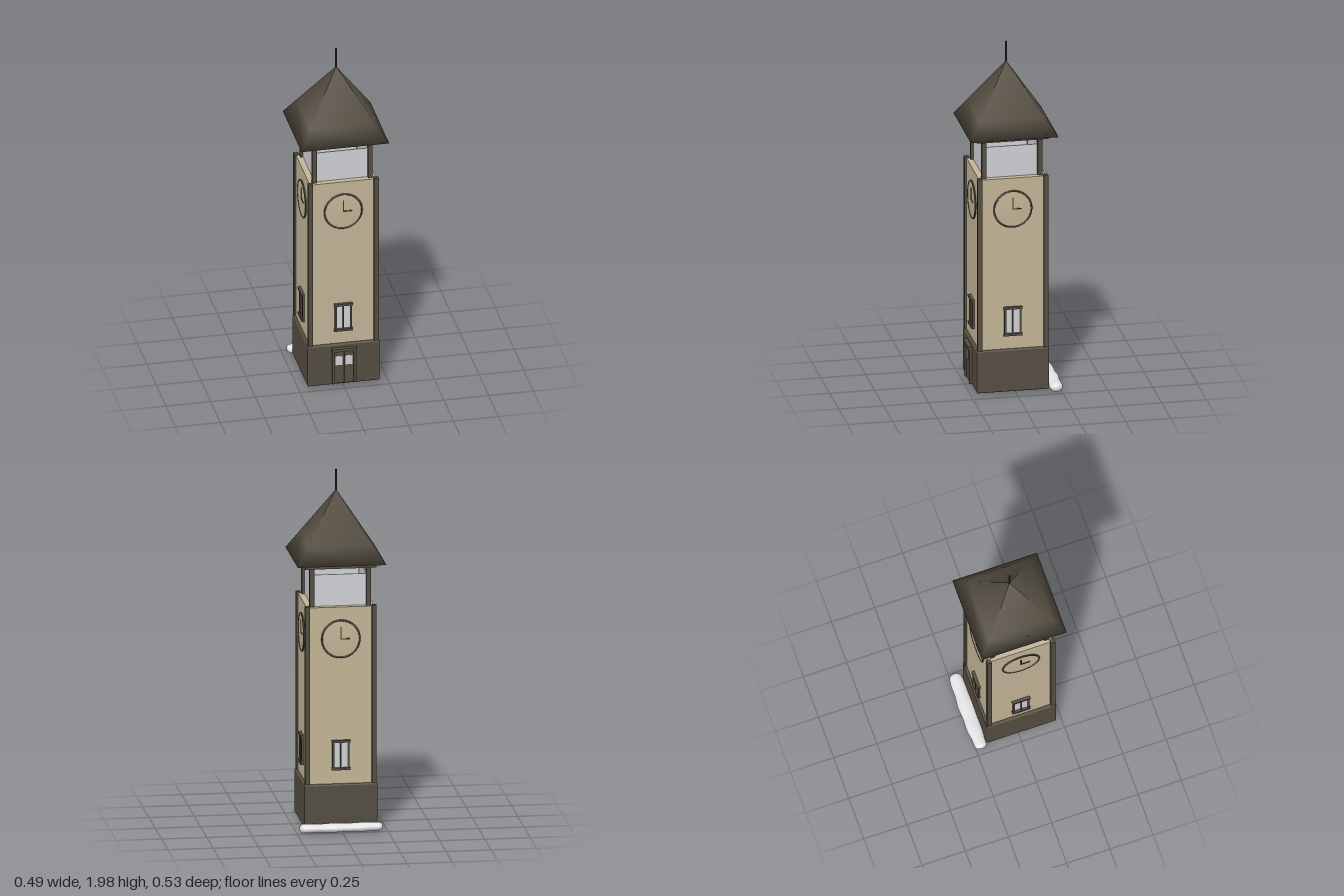
import * as THREE from 'three';
import { RoundedBoxGeometry } from 'three/addons/geometries/RoundedBoxGeometry.js';

const material = (name, color, side = THREE.FrontSide) => {
  const m = new THREE.MeshStandardMaterial({ color, side });
  m.name = name;
  return m;
};

export function createModel() {
  const wall = material('tan plaster', 0xc2b496);
  const dark = material('dark timber', 0x544d41);
  const glass = material('pale glass', 0xcfd0d4, THREE.DoubleSide);
  const snow = material('snow', 0xe2e2e4);
  const iron = material('dark iron', 0x3a362e);

  const model = new THREE.Group();
  model.name = 'clockTower';
  const tower = new THREE.Group();
  tower.name = 'tower';
  tower.position.z = 0.018;
  model.add(tower);

  const add = (parent, name, geometry, mat, x = 0, y = 0, z = 0) => {
    const mesh = new THREE.Mesh(geometry, mat);
    mesh.name = name;
    mesh.position.set(x, y, z);
    parent.add(mesh);
    return mesh;
  };
  // Box given by its width, bottom, top, back and front
  const box = (parent, name, mat, x, w, y0, y1, z0, z1) =>
    add(parent, name, new THREE.BoxGeometry(w, y1 - y0, z1 - z0), mat, x, (y0 + y1) / 2, (z0 + z1) / 2);

  // Plinth and shaft
  add(tower, 'plinth', new RoundedBoxGeometry(0.404, 0.245, 0.404, 2, 0.008), dark, 0, 0.153, 0);
  box(tower, 'shaft', wall, 0, 0.372, 0.27, 1.268, -0.186, 0.186);

  // Corner posts of the shaft and of the lantern
  for (const sx of [-1, 1]) for (const sz of [-1, 1]) {
    box(tower, 'cornerPost', dark, sx * 0.184, 0.026, 0.27, 1.275, sz * 0.184 - 0.013, sz * 0.184 + 0.013);
    box(tower, 'lanternPost', dark, sx * 0.156, 0.025, 1.265, 1.49, sz * 0.156 - 0.0125, sz * 0.156 + 0.0125);
  }

  // Clock disc with softly rounded rim
  const dial = new THREE.LatheGeometry(
    [[0.103, 0], [0.103, 0.008], [0, 0.008]].map(p => new THREE.Vector2(...p)), 40);
  dial.rotateX(Math.PI / 2);

  // Details repeated on all four sides
  for (let i = 0; i < 4; i++) {
    const side = new THREE.Group();
    side.name = 'towerSide';
    side.rotation.y = i * Math.PI / 2;
    tower.add(side);

    add(side, 'lanternGlass', new THREE.BoxGeometry(0.3, 0.177, 0.006), glass, 0, 1.3565, 0.15);

    const clock = new THREE.Group();
    clock.name = 'clock';
    clock.position.set(0, 1.09, 0.185);
    side.add(clock);
    add(clock, 'clockFace', dial, wall);
    add(clock, 'clockRim', new THREE.TorusGeometry(0.104, 0.005, 8, 40), dark, 0, 0, 0.006);
    box(clock, 'minuteHand', iron, 0, 0.006, -0.003, 0.068, 0.008, 0.011);
    box(clock, 'hourHand', iron, 0.025, 0.05, -0.003, 0.003, 0.008, 0.011);

    const win = new THREE.Group();
    win.name = 'window';
    win.position.set(0, 0, 0.185);
    side.add(win);
    box(win, 'windowPane', glass, 0, 0.084, 0.365, 0.51, 0, 0.004);
    for (const x of [-0.042, 0, 0.042])
      box(win, 'windowBar', dark, x, x ? 0.01 : 0.007, 0.36, 0.515, 0, 0.012);
    box(win, 'windowHead', dark, 0, 0.104, 0.508, 0.521, 0, 0.018);
    box(win, 'windowSill', dark, 0, 0.104, 0.354, 0.367, 0, 0.018);
  }

  // Double door
  const door = new THREE.Group();
  door.name = 'door';
  door.position.z = 0.2;
  tower.add(door);
  for (const s of [-1, 1]) {
    box(door, 'doorLeaf', dark, s * 0.028, 0.053, 0.04, 0.235, 0, 0.01);
    box(door, 'doorPane', glass, s * 0.028, 0.04, 0.152, 0.208, 0.009, 0.012);
    box(door, 'doorJamb', dark, s * 0.06, 0.014, 0.04, 0.24, 0, 0.018);
  }
  box(door, 'doorHead', dark, 0, 0.138, 0.238, 0.256, 0, 0.025);

  // Eave plate, pyramid roof and finial
  box(tower, 'eavePlate', dark, 0, 0.394, 1.486, 1.512, -0.197, 0.197);
  const d = Math.SQRT2;
  const roof = new THREE.LatheGeometry([[0, 1.51], [0.245 * d, 1.51], [0.182 * d, 1.607], [0, 1.887]]
    .map(p => new THREE.Vector2(...p)), 4);
  roof.rotateY(Math.PI / 4);
  add(tower, 'roof', roof, dark);
  add(tower, 'finial', new THREE.CylinderGeometry(0.0045, 0.0045, 0.13, 8), iron, 0, 1.935, 0);

  // Snow bank along the back: a flattened, uneven capsule
  const bank = new THREE.CapsuleGeometry(0.023, 0.414, 8, 20, 24);
  bank.rotateZ(Math.PI / 2);
  const p = bank.attributes.position;
  for (let i = 0; i < p.count; i++) {
    const x = p.getX(i), taper = 1 - 5 * x * x + 0.05 * Math.sin(x * 45);
    p.setXYZ(i, x, p.getY(i) * (1 + 0.06 * Math.sin(x * 38)), p.getZ(i) * 1.9 * taper);
  }
  bank.computeVertexNormals();
  add(model, 'snowBank', bank, snow, 0.005, 0.041, -0.221);

  return model;
}
